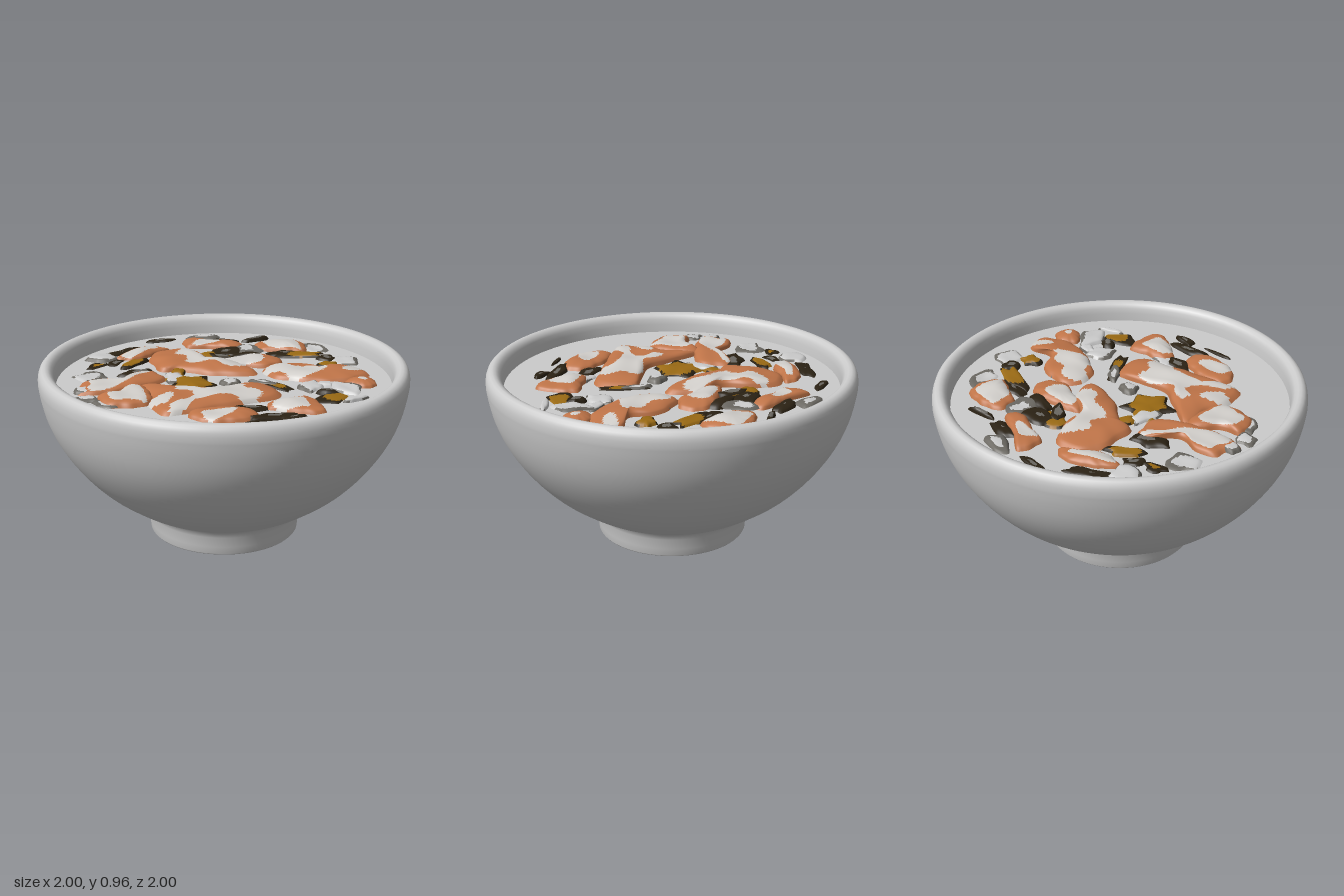
import * as THREE from 'three';

const SOUP_Y = 0.855;
const material = (color) => new THREE.MeshStandardMaterial({ color, side: THREE.DoubleSide });
const grey = material(0xcccccc);
const pale = material(0xd2cfcb);
const orange = material(0xbf7448);
const dark = material(0x2b2214);
const charcoal = material(0x6b6862);
const gold = material(0x9a6a14);

function randomFrom(seed) {
  let s = seed;
  return () => (s = (s * 16807) % 2147483647) / 2147483647;
}

// Domed floating piece: rings shrink from the outline to its middle.
// Triangles are shared out between a core and an edge colour.
function floatingPiece(name, outline, options) {
  const { height, core, edge, coreSize, segments, rings, tension = 0.5, tilt = 0, wave = 0, wobble = 0 } = options;
  const curve = new THREE.CatmullRomCurve3(
    outline.map(([x, z]) => new THREE.Vector3(x, 0, z)), true, 'catmullrom', tension);
  const rim = curve.getSpacedPoints(segments).slice(0, segments);
  const middle = rim.reduce((sum, p) => sum.add(p), new THREE.Vector3()).divideScalar(segments);
  const positions = [];
  for (let r = 0; r <= rings; r++) {
    const t = r / rings;
    rim.forEach((p, i) => {
      const a = (i / segments) * Math.PI * 2;
      const s = t * (1 + wobble * (Math.sin(a * 11 + middle.x * 9) + Math.sin(a * 7 + middle.z * 9)));
      const x = middle.x + (p.x - middle.x) * s, z = middle.z + (p.z - middle.z) * s;
      const dome = height * Math.sqrt(1 - t ** 3);
      const ripple = wave * Math.sin(x * 17 + z * 9) * Math.cos(z * 15 - x * 6) * (1 - t * t);
      positions.push(x, SOUP_Y + 0.003 + dome + ripple + tilt * (x - middle.x + 0.1) * t * t, z);
    });
  }
  const coreIndex = [], edgeIndex = [];
  for (let r = 0; r < rings; r++) {
    for (let i = 0; i < segments; i++) {
      const j = (i + 1) % segments;
      const a = r * segments + i, b = r * segments + j, c = a + segments, d = b + segments;
      const x = positions[3 * c], z = positions[3 * c + 2];
      const streak = 0.28 * Math.sin(x * 13 - z * 8 + 1) + 0.14 * Math.sin(x * 21 + z * 25);
      const list = (r + 0.5) / rings + streak < coreSize ? coreIndex : edgeIndex;
      if (r > 0) list.push(a, b, c);
      list.push(b, d, c);
    }
  }
  const whole = new THREE.BufferGeometry();
  whole.setAttribute('position', new THREE.Float32BufferAttribute(positions, 3));
  whole.setIndex([...coreIndex, ...edgeIndex]);
  whole.computeVertexNormals();
  const group = new THREE.Group();
  group.name = name;
  for (const [part, index, mat] of [['Core', coreIndex, core], ['Edge', edgeIndex, edge]]) {
    if (!index.length) continue;
    const geometry = new THREE.BufferGeometry();
    geometry.setAttribute('position', whole.getAttribute('position'));
    geometry.setAttribute('normal', whole.getAttribute('normal'));
    geometry.setIndex(index);
    const mesh = new THREE.Mesh(geometry, mat);
    mesh.name = name + part;
    group.add(mesh);
  }
  return group;
}

// Small ragged flake: half length, half width, turn in the soup plane
function flake(name, [x, z, length, width, turn], seed, core, edge, coreSize) {
  const random = randomFrom(seed * 7919 + 13);
  const outline = [];
  const corners = 11;
  for (let i = 0; i < corners; i++) {
    const a = (i / corners) * Math.PI * 2;
    const k = 0.7 + random() * 0.55;
    const u = Math.cos(a) * length * k, v = Math.sin(a) * width * k;
    outline.push([x + u * Math.cos(turn) - v * Math.sin(turn), z + u * Math.sin(turn) + v * Math.cos(turn)]);
  }
  return floatingPiece(name, outline, {
    height: 0.012 + random() * 0.016, core, edge, coreSize, segments: 44, rings: 8, tension: 0.2,
    tilt: (random() - 0.4) * 0.15, wave: 0.008,
  });
}

function buildBowl() {
  // base recess and foot ring
  const foot = [
    [0, 0.042], [0.325, 0.042], [0.335, 0.041], [0.343, 0.035], [0.36, 0.016], [0.378, 0.004], [0.392, 0],
    [0.405, 0.002], [0.412, 0.01], [0.416, 0.05], [0.425, 0.11], [0.435, 0.138], [0.45, 0.153],
  ].map(([x, y]) => new THREE.Vector2(x, y));
  // outer wall
  const wall = new THREE.SplineCurve([
    [0.465, 0.162], [0.54, 0.2], [0.68, 0.3], [0.782, 0.4], [0.86, 0.5], [0.92, 0.6], [0.962, 0.7],
    [0.988, 0.8], [1, 0.88],
  ].map(([x, y]) => new THREE.Vector2(x, y))).getPoints(32);
  // rolled rim
  const rim = [
    [1, 0.905], [0.997, 0.925], [0.99, 0.944], [0.978, 0.957], [0.962, 0.964], [0.945, 0.961],
    [0.928, 0.95], [0.917, 0.93], [0.912, 0.9],
  ].map(([x, y]) => new THREE.Vector2(x, y));
  // inner wall
  const inside = [];
  for (let i = 0; i <= 16; i++) {
    const a = (i / 16) * Math.PI / 2;
    inside.push(new THREE.Vector2(Math.max(0, 0.908 * Math.cos(a)), 0.86 - 0.64 * Math.sin(a)));
  }
  const bowl = new THREE.Mesh(new THREE.LatheGeometry([...foot, ...wall, ...rim, ...inside], 96), grey);
  bowl.name = 'bowl';
  return bowl;
}

export function createModel() {
  const model = new THREE.Group();
  model.name = 'soupBowl';
  model.add(buildBowl());

  const soup = new THREE.Mesh(new THREE.CircleGeometry(0.93, 96).rotateX(-Math.PI / 2), grey);
  soup.name = 'soupSurface';
  soup.position.y = SOUP_Y;
  model.add(soup);

  // Large chunks, outlined in x and z
  const chunk = (height, ...outline) => model.add(floatingPiece('meatChunk', outline, {
    height, core: pale, edge: orange, coreSize: 0.62, segments: 96, rings: 18, wave: 0.01, wobble: 0.018,
  }));
  chunk(0.048, [-.30, -.51], [-.21, -.57], [-.09, -.55], [-.02, -.42], [.01, -.29], [.14, -.21], [.20, -.10],
    [.17, -.02], [0, -.06], [-.13, -.14], [-.21, -.20], [-.30, -.22], [-.32, -.37]);
  chunk(0.048, [-.48, .01], [-.40, .04], [-.26, .13], [-.13, .19], [.17, .15], [.21, .27], [.20, .38],
    [.03, .41], [-.13, .45], [-.29, .47], [-.44, .48], [-.48, .33], [-.46, .17]);
  chunk(0.042, [.25, -.10], [.35, -.14], [.51, -.09], [.59, .03], [.73, .01], [.79, .11], [.75, .18],
    [.59, .22], [.43, .17], [.30, .09], [.24, 0]);
  chunk(0.038, [-.77, -.10], [-.66, -.13], [-.53, -.10], [-.40, -.22], [-.32, -.18], [-.32, -.05],
    [-.45, .02], [-.64, .07], [-.80, .06], [-.78, -.02]);
  chunk(0.045, [-.72, .14], [-.61, .11], [-.53, .01], [-.45, .03], [-.44, .22], [-.50, .31], [-.66, .30], [-.72, .23]);
  chunk(0.036, [-.33, .49], [-.21, .45], [-.05, .49], [.02, .56], [-.02, .65], [-.15, .66], [-.28, .61]);
  chunk(0.036, [.11, .45], [.22, .43], [.34, .42], [.37, .57], [.34, .66], [.25, .64], [.17, .59], [.09, .52]);
  chunk(0.038, [-.06, -.69], [-.03, -.76], [.09, -.68], [.22, -.62], [.28, -.55], [.19, -.51], [.06, -.57], [-.05, -.61]);
  chunk(0.032, [-.50, -.50], [-.40, -.60], [-.26, -.65], [-.16, -.60], [-.24, -.55], [-.37, -.47]);
  chunk(0.038, [.03, -.29], [.17, -.32], [.30, -.33], [.40, -.26], [.38, -.17], [.27, -.13], [.17, -.18], [.06, -.21]);
  chunk(0.038, [.34, -.56], [.47, -.59], [.60, -.55], [.62, -.42], [.56, -.34], [.43, -.40], [.35, -.45]);
  chunk(0.028, [.60, .25], [.68, .19], [.77, .24], [.75, .33], [.67, .34]);

  // Small flakes: x, z, half length, half width, turn
  const herbs = [
    [-.42, -.64, .14, .045, -.4], [-.17, -.78, .09, .03, .15], [.18, -.67, .11, .045, .2], [.38, -.65, .09, .022, -.1],
    [-.52, -.42, .06, .04, -.8], [-.43, -.22, .11, .06, -.3], [.14, -.46, .1, .08, .4], [.24, -.36, .11, .045, .3],
    [.46, -.35, .12, .045, .3], [-.08, .715, .1, .015, -.1], [.06, .64, .15, .04, -.05], [.16, .7, .07, .035, 0],
    [.02, .49, .11, .05, .2], [.66, -.2, .05, .05, .5], [.47, .37, .06, .04, .6], [.1, -.36, .11, .04, .9],
  ];
  const leaves = [
    [-.58, -.53, .08, .075, .3], [-.69, -.24, .09, .09, .5], [.1, -.78, .11, .055, .3], [.27, -.46, .09, .1, 0],
    [.02, .08, .065, .06, .4], [.67, -.40, .12, .065, 1.3], [.75, -.14, .1, .075, .7], [.41, .25, .08, .09, .2],
    [.58, .34, .11, .07, 1.1], [-.77, .13, .08, .05, .5], [-.26, -.06, .06, .12, .2], [.57, .5, .085, .025, -.4],
    [-.78, .02, .06, .045, .2], [.12, .47, .08, .055, .3], [.42, -.08, .06, .04, .6], [.18, .14, .08, .035, .9],
    [.5, .24, .06, .04, .2], [-.7, .24, .07, .05, .9],
  ];
  const peels = [
    [-.19, .02, .14, .14, .4], [-.42, -.39, .1, .045, -.6], [-.63, -.39, .06, .045, -.2], [.07, -.43, .09, .08, .5],
    [.53, -.29, .14, .06, .4], [.63, -.08, .07, .05, 0], [.45, .46, .09, .08, .4], [.22, .2, .14, .04, 1.1],
    [-.21, -.18, .045, .06, .3],
  ];
  herbs.forEach((f, i) => model.add(flake('herbFlake', f, i + 1, charcoal, dark, 0.2)));
  leaves.forEach((f, i) => model.add(flake('leafFlake', f, i + 31, grey, charcoal, 0.72)));
  peels.forEach((f, i) => model.add(flake('peelFlake', f, i + 61, gold, dark, 0.72)));
  return model;
}
